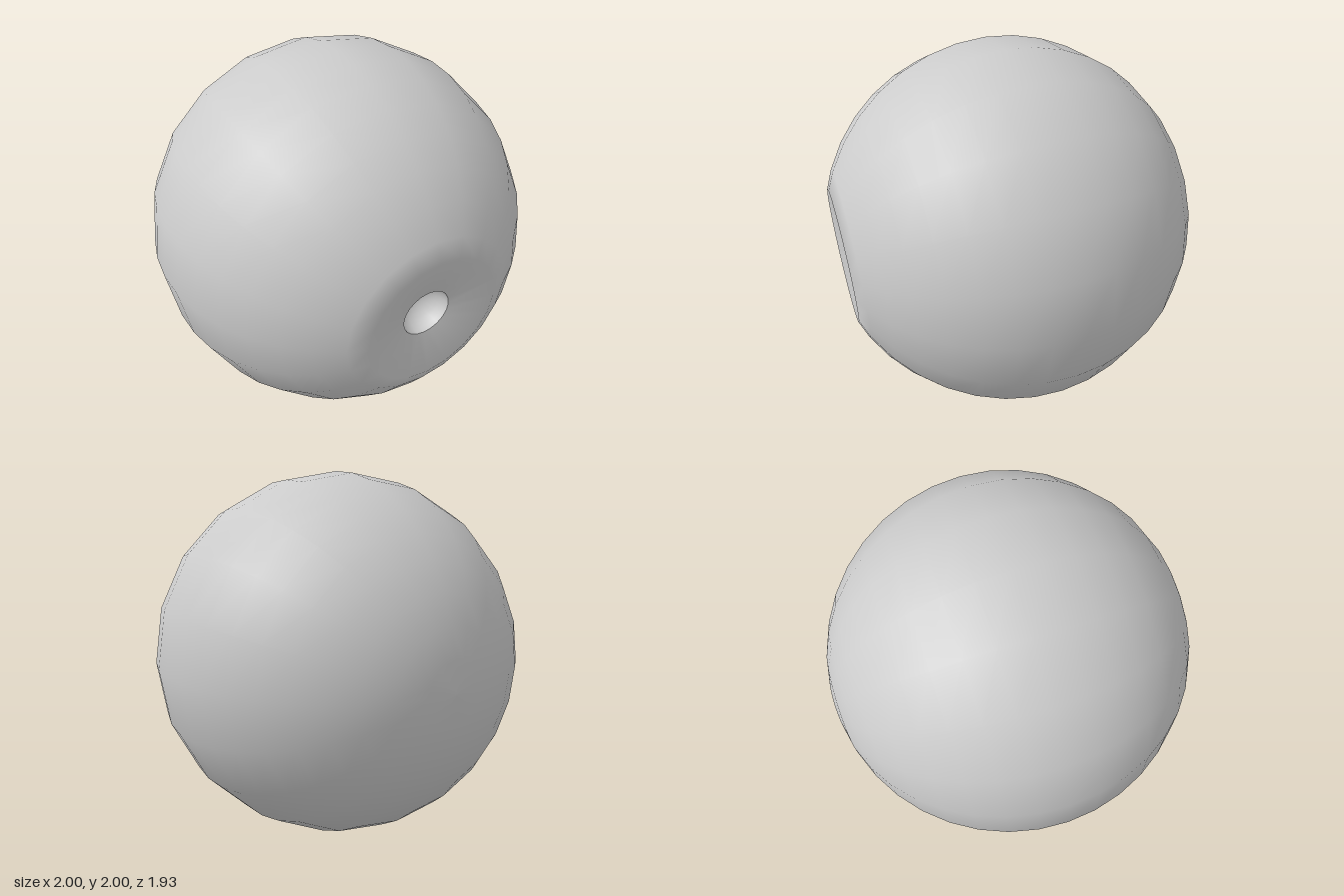
import * as THREE from 'three';

const SIDES = 20;      // facets around the front-back axis
const CENTRE_Z = 0.035;

// Revolve a [radius, z] profile around the z axis, running back to front
function revolve(name, profile, sides, material) {
  const points = profile.map(([r, z]) => new THREE.Vector2(r, z));
  const geometry = new THREE.LatheGeometry(points, sides);
  geometry.rotateX(Math.PI / 2);
  const mesh = new THREE.Mesh(geometry, material);
  mesh.name = name;
  mesh.position.set(0, 1, 0);
  return mesh;
}

export function createModel() {
  const group = new THREE.Group();
  group.name = 'eyeball';
  const material = new THREE.MeshStandardMaterial({ color: 0xcccccc });

  // Globe: rings every 9 degrees from the back pole, then the rim and the dished iris
  const globe = [];
  for (let i = 0; i <= 17; i++) {
    const a = THREE.MathUtils.degToRad(i * 9);
    globe.push([Math.sin(a), CENTRE_Z - Math.cos(a)]);
  }
  globe[0][0] = 0;
  globe.push([0.36, 0.965], [0.13, 0.905]);
  group.add(revolve('globeAndIris', globe, SIDES, material));

  // Pupil: a rounded hollow behind the iris
  const pupil = [];
  for (let i = 0; i <= 8; i++) {
    const a = (i / 8) * Math.PI / 2;
    pupil.push([i === 8 ? 0 : 0.13 * Math.cos(a), 0.905 - 0.13 * Math.sin(a)]);
  }
  group.add(revolve('pupil', pupil, SIDES, material));

  return group;
}
